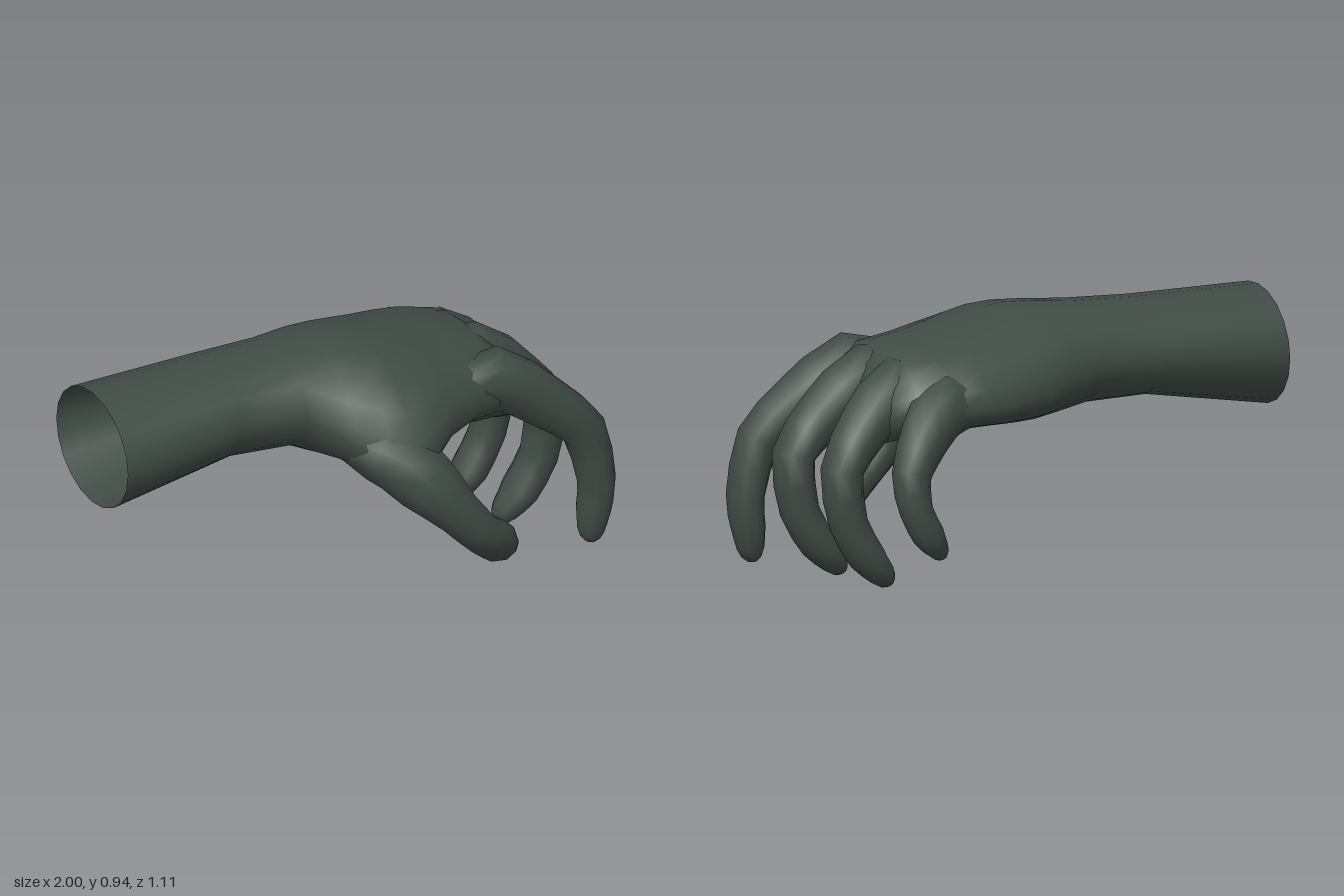
import * as THREE from 'three';

const skin = new THREE.MeshStandardMaterial({ color: 0x3f4b44, side: THREE.DoubleSide });
skin.name = 'dark grey green';

// Skin a list of rings (all the same length), open at the start and closed at the end
function loft(name, rings) {
  const n = rings[0].length, pos = [], idx = [];
  const last = rings[rings.length - 1];
  rings.forEach(r => r.forEach(p => pos.push(p.x, p.y, p.z)));
  for (let i = 0; i < rings.length - 1; i++) {
    for (let j = 0; j < n; j++) {
      const a = i * n + j, b = i * n + (j + 1) % n;
      idx.push(a, b, a + n, b, b + n, a + n);
    }
  }
  // End cap
  const base = (rings.length - 1) * n, mid = new THREE.Vector3();
  last.forEach(p => mid.addScaledVector(p, 1 / n));
  pos.push(mid.x, mid.y, mid.z);
  for (let j = 0; j < n; j++) idx.push(base + j, base + (j + 1) % n, base + n);
  const geo = new THREE.BufferGeometry();
  geo.setAttribute('position', new THREE.Float32BufferAttribute(pos, 3));
  geo.setIndex(idx);
  geo.computeVertexNormals();
  const mesh = new THREE.Mesh(geo, skin);
  mesh.name = name;
  return mesh;
}

// Forearm and palm: [x, top, bottom, side height, back z, front z, droop of the thumb side]
function armAndPalm() {
  const sections = [
    [-1, 0.91, 0.465, 0.69, -0.34, 0.21, 0],
    [-0.5, 0.92, 0.56, 0.74, -0.33, 0.175, 0],
    [-0.25, 0.93, 0.555, 0.74, -0.33, 0.2, 0],
    [-0.1, 0.94, 0.53, 0.72, -0.385, 0.32, 0.08],
    [0.0, 0.94, 0.52, 0.69, -0.42, 0.405, 0.11],
    [0.09, 0.93, 0.52, 0.68, -0.44, 0.445, 0.12],
    [0.19, 0.91, 0.53, 0.67, -0.46, 0.425, 0.06],
    [0.28, 0.895, 0.535, 0.67, -0.465, 0.36, 0.02],
    [0.4, 0.875, 0.53, 0.67, -0.46, 0.305, 0],
    [0.53, 0.855, 0.51, 0.67, -0.4, 0.275, 0],
    [0.6, 0.8, 0.49, 0.65, -0.34, 0.24, 0],
    [0.665, 0.67, 0.5, 0.59, -0.26, 0.18, 0],
  ];
  const n = 20;
  return loft('forearmAndPalm', sections.map(([x, top, bottom, side, z0, z1, droop]) =>
    Array.from({ length: n }, (_, j) => {
      const t = j / n * Math.PI * 2, s = -Math.sin(t), c = Math.cos(t);
      const y = side + s * (s > 0 ? top - side : side - bottom) - droop * Math.max(c, 0) ** 2;
      return new THREE.Vector3(x, y, (z0 + z1) / 2 + c * (z1 - z0) / 2);
    })));
}

// Finger: centre line of [x, y, z, half width, half thickness]
function finger(name, stations) {
  const n = 10, steps = (stations.length - 1) * 2;
  const path = new THREE.CatmullRomCurve3(
    stations.map(s => new THREE.Vector3(s[0], s[1], s[2])), false, 'catmullrom', 0.35);
  const rings = [];
  const addRing = (t, scale, shift) => {
    const k = Math.min(Math.floor(t * (stations.length - 1)), stations.length - 2);
    const f = t * (stations.length - 1) - k;
    const w = THREE.MathUtils.lerp(stations[k][3], stations[k + 1][3], f) * scale;
    const h = THREE.MathUtils.lerp(stations[k][4], stations[k + 1][4], f) * scale;
    const dir = path.getTangent(t);
    const side = new THREE.Vector3(0, 0, 1).addScaledVector(dir, -dir.z).normalize();
    const up = new THREE.Vector3().crossVectors(dir, side);
    const centre = path.getPoint(t).addScaledVector(dir, shift);
    rings.push(Array.from({ length: n }, (_, j) => {
      const a = j / n * Math.PI * 2;
      return centre.clone().addScaledVector(side, Math.cos(a) * w).addScaledVector(up, Math.sin(a) * h);
    }));
  };
  for (let i = 0; i <= steps; i++) addRing(i / steps, 1, 0);
  // Rounded fingertip
  addRing(1, 0.75, 0.03);
  addRing(1, 0.4, 0.048);
  return loft(name, rings);
}

export function createModel() {
  const hand = new THREE.Group();
  hand.name = 'hand';
  hand.add(
    armAndPalm(),
    finger('indexFinger', [
      [0.25, 0.69, 0.15, 0.08, 0.06], [0.54, 0.72, 0.185, 0.11, 0.12],
      [0.74, 0.59, 0.225, 0.09, 0.1], [0.88, 0.46, 0.245, 0.08, 0.085],
      [0.93, 0.25, 0.25, 0.085, 0.07], [0.92, 0.13, 0.245, 0.08, 0.062],
      [0.91, 0.05, 0.245, 0.06, 0.05],
    ]),
    finger('middleFinger', [
      [0.2, 0.72, -0.03, 0.08, 0.06], [0.56, 0.73, -0.02, 0.105, 0.12],
      [0.74, 0.6, -0.01, 0.09, 0.1], [0.865, 0.46, -0.025, 0.095, 0.08],
      [0.845, 0.25, -0.035, 0.085, 0.072], [0.77, 0.115, -0.045, 0.085, 0.068],
      [0.71, 0.045, -0.05, 0.06, 0.05],
    ]),
    finger('ringFinger', [
      [0.18, 0.7, -0.15, 0.08, 0.06], [0.52, 0.72, -0.2, 0.11, 0.12],
      [0.68, 0.6, -0.24, 0.095, 0.1], [0.79, 0.45, -0.28, 0.085, 0.08],
      [0.765, 0.25, -0.285, 0.075, 0.072], [0.69, 0.115, -0.285, 0.08, 0.068],
      [0.63, 0.045, -0.285, 0.06, 0.05],
    ]),
    finger('littleFinger', [
      [0.1, 0.68, -0.28, 0.08, 0.06], [0.4, 0.68, -0.36, 0.105, 0.12],
      [0.52, 0.59, -0.425, 0.085, 0.1], [0.6, 0.46, -0.475, 0.068, 0.075],
      [0.59, 0.33, -0.495, 0.06, 0.062], [0.54, 0.23, -0.495, 0.06, 0.06],
      [0.505, 0.18, -0.49, 0.045, 0.045],
    ]),
    finger('thumb', [
      [-0.12, 0.66, 0.1, 0.08, 0.08], [0.03, 0.595, 0.29, 0.13, 0.135],
      [0.135, 0.485, 0.405, 0.115, 0.125], [0.235, 0.365, 0.465, 0.083, 0.09],
      [0.33, 0.26, 0.465, 0.09, 0.08], [0.425, 0.185, 0.425, 0.078, 0.08],
      [0.46, 0.16, 0.405, 0.06, 0.06],
    ]),
  );
  return hand;
}
